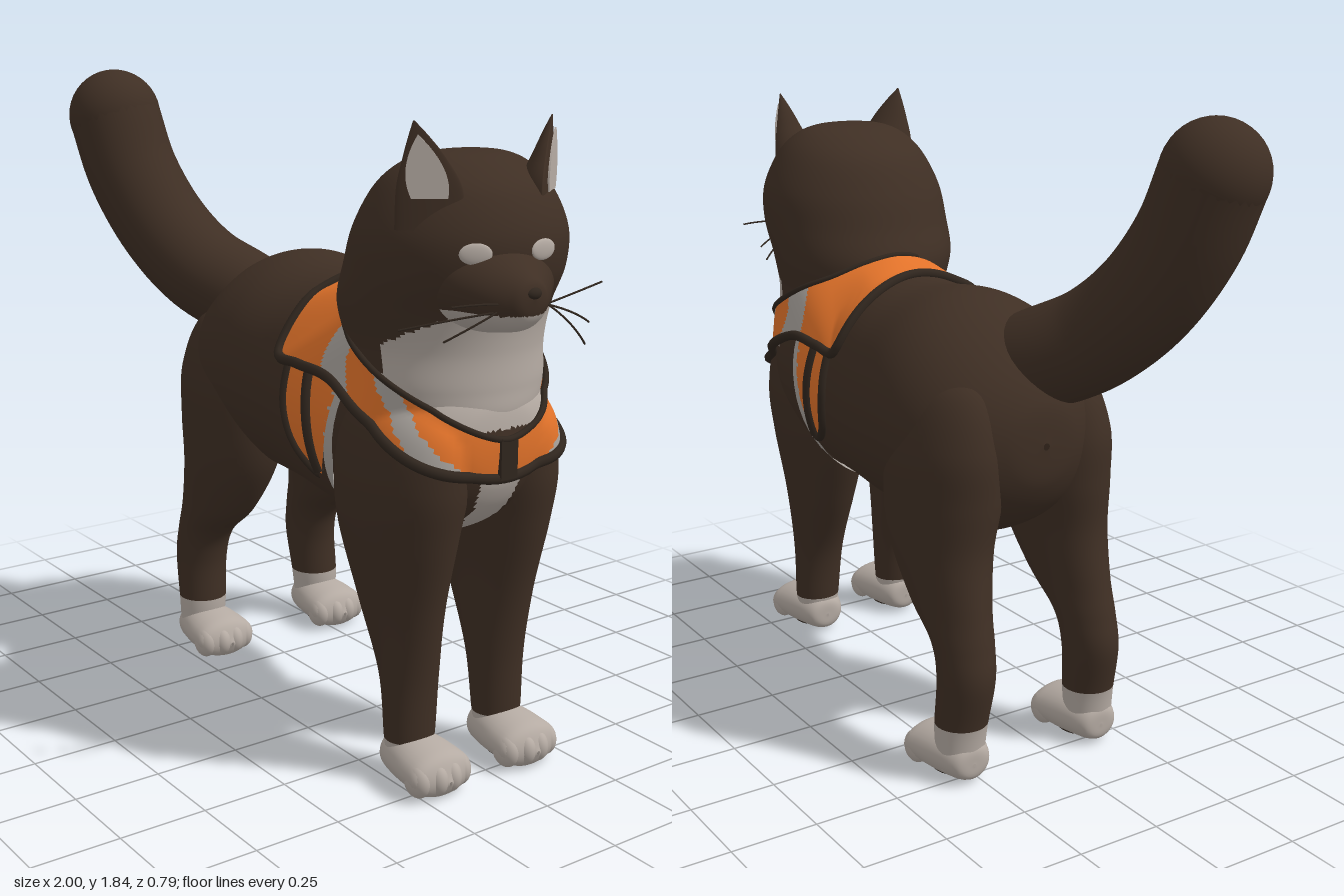
import * as THREE from 'three';

const mat = (name, color, side = THREE.FrontSide) => {
  const m = new THREE.MeshStandardMaterial({ color, side });
  m.name = name;
  return m;
};

export function createModel() {
  const cat = new THREE.Group();
  cat.name = 'cat';
  const fur = mat('brown fur', 0x3f2f24);
  const white = mat('pale fur', 0xb5aba3);
  const dark = mat('dark trim', 0x30261e);
  const orange = mat('orange cloth', 0xe3732a, THREE.DoubleSide);
  const silver = mat('silver band', 0xaaa49e, THREE.DoubleSide);

  const add = (name, geo, material, parent = cat) => {
    const m = new THREE.Mesh(geo, material);
    m.name = name;
    parent.add(m);
    return m;
  };
  const ball = (name, material, [x, y, z], [rx, ry, rz], parent = cat) => {
    const m = add(name, new THREE.SphereGeometry(1, 28, 20), material, parent);
    m.position.set(x, y, z);
    m.scale.set(rx, ry, rz);
    return m;
  };
  const surface = (pos, index) => {
    const g = new THREE.BufferGeometry();
    g.setAttribute('position', new THREE.Float32BufferAttribute(pos, 3));
    g.setIndex(index);
    g.computeVertexNormals();
    return g;
  };

  // Smooth skin through elliptical rings [t, centreA, centreB, radiusA, radiusB]
  const loft = (rings, axis, steps = 8, seg = 56) => {
    const pos = [], idx = [], n = (rings.length - 1) * steps;
    const spline = (k, s) => {
      const i = Math.min(Math.floor(s), rings.length - 2), f = s - i;
      const p = (j) => rings[Math.max(0, Math.min(rings.length - 1, j))][k];
      const [a, b, c, d] = [p(i - 1), p(i), p(i + 1), p(i + 2)];
      return b + 0.5 * f * (c - a + f * (2 * a - 5 * b + 4 * c - d + f * (3 * (b - c) + d - a)));
    };
    for (let i = 0; i <= n; i++) {
      const [t, ca, cb, ra, rb] = [0, 1, 2, 3, 4].map((k) => spline(k, i / steps));
      for (let j = 0; j < seg; j++) {
        const th = (j / seg) * Math.PI * 2;
        const a = ca + Math.max(ra, 0.001) * Math.cos(th), b = Math.max(rb, 0.001) * Math.sin(th);
        if (axis === 'y') pos.push(a, t, cb + b);
        else pos.push(t, a, cb - b);
        if (i < n) {
          const p = i * seg + j, q = i * seg + (j + 1) % seg;
          idx.push(p, p + seg, q, q, p + seg, q + seg);
        }
      }
    }
    return surface(pos, idx);
  };

  // Sort the quads into two material groups by a rule on their centre
  const paint = (g, rule) => {
    const p = g.attributes.position, src = g.index.array, lists = [[], []];
    for (let i = 0; i < src.length; i += 6) {
      const mid = (get) => (p[get](src[i]) + p[get](src[i + 1]) + p[get](src[i + 2]) + p[get](src[i + 5])) / 4;
      lists[rule(mid('getX'), mid('getY'), mid('getZ')) ? 1 : 0].push(...src.slice(i, i + 6));
    }
    g.setIndex([...lists[0], ...lists[1]]);
    g.addGroup(0, lists[0].length, 0);
    g.addGroup(lists[0].length, lists[1].length, 1);
    return g;
  };

  // Torso with pale belly, chest patch and throat
  const torsoGeo = loft([
    [-0.565, 0.95, -0.06, 0.01, 0.01], [-0.55, 0.95, -0.06, 0.12, 0.12],
    [-0.48, 0.95, -0.06, 0.225, 0.24], [-0.35, 0.965, -0.065, 0.315, 0.31],
    [-0.2, 0.98, -0.07, 0.34, 0.325], [0, 0.965, -0.06, 0.335, 0.31],
    [0.2, 0.955, -0.03, 0.335, 0.3], [0.4, 0.945, -0.01, 0.325, 0.29],
    [0.6, 0.94, 0.01, 0.28, 0.275], [0.75, 0.945, 0.03, 0.205, 0.225],
    [0.82, 0.955, 0.035, 0.12, 0.13], [0.84, 0.96, 0.035, 0.01, 0.01]], 'x', 12, 108);
  const torso = add('torso', paint(torsoGeo, (x, y, z) => (x > -0.3 && x < 0.55 && y < 0.675)
    || (x >= 0.5 && y < 0.88 && Math.abs(z - 0.035) < 0.035 + 0.13 * (y - 0.6))
    || (x > 0.63 && y > 1)), [fur, white]);

  // Legs, paws and toes
  const solid = [torso];
  const makeLeg = (name, s, midZ, rings, sock) => {
    const legGroup = new THREE.Group();
    legGroup.name = name;
    cat.add(legGroup);
    const g = loft(rings.map(([y, x, dz, rx, rz]) => [y, x, midZ + s * dz, rx, rz]), 'y', 8, 48);
    const leg = add('leg', paint(g, (x, y) => y < sock), [fur, white], legGroup);
    const px = rings[1][1] + 0.05, pz = midZ + s * rings[1][2];
    add('paw', loft([[-0.12, 0.06, 0, 0.005, 0.005], [-0.11, 0.064, 0, 0.05, 0.055],
      [-0.04, 0.07, 0, 0.067, 0.084], [0.05, 0.066, 0, 0.064, 0.098], [0.105, 0.058, 0, 0.052, 0.09],
      [0.132, 0.05, 0, 0.005, 0.005]], 'x', 6, 32).translate(px, 0, pz), white, legGroup);
    [-1.5, -0.5, 0.5, 1.5].forEach((k) => ball('toe', white,
      [px + 0.098 - 0.016 * Math.abs(k), 0.055, pz + k * 0.045], [0.045, 0.048, 0.032], legGroup));
    ball('pawPad', dark, [px, 0.012, pz], [0.066, 0.012, 0.054], legGroup);
    return leg;
  };
  for (const s of [1, -1]) {
    const side = s > 0 ? 'Right' : 'Left';
    solid.push(makeLeg('front' + side + 'Leg', s, 0.035, [
      [0.04, 0.65, 0.155, 0.05, 0.06], [0.12, 0.65, 0.155, 0.064, 0.072],
      [0.3, 0.64, 0.152, 0.085, 0.08], [0.5, 0.61, 0.157, 0.145, 0.1],
      [0.7, 0.595, 0.16, 0.205, 0.13], [0.85, 0.6, 0.155, 0.225, 0.145],
      [1.0, 0.6, 0.14, 0.21, 0.13], [1.1, 0.58, 0.12, 0.13, 0.08], [1.14, 0.57, 0.1, 0.01, 0.01]], 0.115));
    makeLeg('rear' + side + 'Leg', s, -0.06, [
      [0.04, -0.487, 0.225, 0.06, 0.068], [0.15, -0.485, 0.222, 0.073, 0.075],
      [0.3, -0.5, 0.215, 0.09, 0.078], [0.4, -0.475, 0.21, 0.102, 0.083],
      [0.5, -0.405, 0.205, 0.15, 0.098], [0.65, -0.345, 0.197, 0.187, 0.125],
      [0.8, -0.335, 0.185, 0.208, 0.145], [0.95, -0.34, 0.18, 0.205, 0.14],
      [1.1, -0.34, 0.16, 0.15, 0.1], [1.18, -0.34, 0.13, 0.01, 0.01]], 0.172);
  }

  // Tail
  const tailPath = new THREE.CatmullRomCurve3([[-0.18, 1.02, -0.06], [-0.4, 1.14, 0.01],
    [-0.56, 1.23, 0.1], [-0.685, 1.35, 0.16], [-0.79, 1.52, 0.21], [-0.855, 1.695, 0.235]]
    .map((p) => new THREE.Vector3(...p)));
  add('tail', new THREE.TubeGeometry(tailPath, 48, 0.144, 36), fur);
  ball('tailTip', fur, [-0.855, 1.695, 0.235], [0.145, 0.145, 0.145]);

  // Head and ruff with pale throat
  const headGeo = loft([
    [0.93, 0.57, 0.03, 0.2, 0.18], [1.02, 0.57, 0.03, 0.255, 0.24], [1.1, 0.58, 0.025, 0.25, 0.26],
    [1.2, 0.565, 0.025, 0.265, 0.265], [1.3, 0.57, 0.03, 0.28, 0.285], [1.4, 0.61, 0.03, 0.285, 0.292],
    [1.5, 0.632, 0.03, 0.272, 0.282], [1.6, 0.64, 0.03, 0.225, 0.235], [1.66, 0.645, 0.03, 0.155, 0.18],
    [1.69, 0.65, 0.03, 0.085, 0.11], [1.7, 0.65, 0.03, 0.001, 0.001]], 'y', 12, 128);
  const head = add('head', paint(headGeo, (x, y) => x > 0.63 && y < 1.215 + (x - 0.63) * 0.5), [fur, white]);
  const muzzleGeo = loft([
    [0.76, 1.385, 0.045, 0.15, 0.2], [0.83, 1.38, 0.055, 0.125, 0.175], [0.88, 1.372, 0.07, 0.107, 0.14],
    [0.93, 1.362, 0.083, 0.085, 0.1], [0.965, 1.36, 0.09, 0.064, 0.066],
    [0.985, 1.364, 0.09, 0.04, 0.042], [0.993, 1.368, 0.09, 0.002, 0.002]], 'x', 8, 72);
  add('muzzle', paint(muzzleGeo, (x, y) => y < 1.325), [fur, white]);
  ball('nose', dark, [0.983, 1.38, 0.09], [0.016, 0.016, 0.024]);

  const caster = new THREE.Raycaster();
  const hit = (from, dir, targets) => {
    caster.set(from, dir);
    return caster.intersectObjects(targets, false)[0];
  };
  cat.updateMatrixWorld(true);

  // Eyes and ears
  for (const s of [1, -1]) {
    const ez = 0.082 + s * 0.094;
    const spot = hit(new THREE.Vector3(2, 1.47, ez), new THREE.Vector3(-1, 0, 0), [head]);
    const eye = ball('eye', white, [spot.point.x, 1.468, ez], [0.042, 0.027, 0.008]);
    eye.lookAt(spot.point.clone().add(spot.face.normal));

    const ear = new THREE.Group();
    ear.name = s > 0 ? 'rightEar' : 'leftEar';
    const shell = loft([[-0.06, 0, 0, 0.085, 0.085], [0.04, 0, 0, 0.082, 0.07], [0.11, -s * 0.012, 0, 0.056, 0.042],
      [0.165, -s * 0.027, 0, 0.027, 0.02], [0.205, -s * 0.04, 0, 0.002, 0.002]], 'y', 6, 40);
    const sp = shell.attributes.position;
    for (let i = 0; i < sp.count; i++) if (sp.getZ(i) > 0) sp.setZ(i, sp.getZ(i) * 0.15);
    shell.computeVertexNormals();
    add('earShell', shell, fur, ear);
    const inside = new THREE.Shape();
    inside.moveTo(-0.045, 0);
    inside.quadraticCurveTo(-0.07 - s * 0.01, 0.07, -s * 0.03, 0.155);
    inside.quadraticCurveTo(0.07 - s * 0.01, 0.07, 0.045, 0);
    const inner = new THREE.ExtrudeGeometry(inside, { depth: 0.005, bevelEnabled: false });
    add('innerEar', inner.translate(0, 0.018, 0.008), white, ear);
    ear.position.set(s > 0 ? 0.765 : 0.805, 1.58, s > 0 ? 0.24 : -0.11);
    ear.rotation.set(0, Math.PI / 2 - s * 0.65, 0);
    cat.add(ear);
  }

  // Whiskers
  [[0.84, 1.3, 0.39], [0.9, 1.27, 0.3], [0.93, 1.36, 0.3], [0.88, 1.36, -0.24],
    [0.92, 1.27, -0.16], [0.94, 1.22, -0.13]].forEach(([x, y, z], i) => {
    const root = new THREE.Vector3(0.94, 1.335 + 0.008 * (i % 3), 0.085 + Math.sign(z) * 0.06);
    const end = new THREE.Vector3(x, y, z);
    const bend = root.clone().lerp(end, 0.5).add(new THREE.Vector3(0.03, 0.012, 0));
    add('whisker', new THREE.TubeGeometry(new THREE.QuadraticBezierCurve3(root, bend, end), 12, 0.0028, 5), dark);
  });

  // Push a point out of the body so cloth lies on top
  const midZ = (x) => -0.03 + 0.065 * (x - 0.1) / 0.75;
  const drape = (p) => {
    const core = new THREE.Vector3(THREE.MathUtils.clamp(p.x, 0.1, 0.6), THREE.MathUtils.clamp(p.y, 0.75, 1.05), midZ(p.x));
    const dir = p.clone().sub(core), len = dir.length();
    dir.normalize();
    const h = hit(core.clone().addScaledVector(dir, 2), dir.clone().negate(), solid);
    return core.addScaledVector(dir, Math.max(len, h ? 2.008 - h.distance : 0));
  };
  const cloth = (name, a, b, nu, nv, isSilver) => {
    const pos = [], idx = [], tag = [];
    for (let i = 0; i <= nu; i++) for (let j = 0; j <= nv; j++) {
      pos.push(...drape(a.getPoint(i / nu).lerp(b.getPoint(i / nu), j / nv)).toArray());
      if (i < nu && j < nv) {
        const p = i * (nv + 1) + j, q = p + nv + 1;
        idx.push(p, q, p + 1, p + 1, q, q + 1);
        tag.push(isSilver((i + 0.5) / nu, (j + 0.5) / nv) ? 1 : 0);
      }
    }
    const g = surface(pos, idx);
    tag.forEach((k, f) => g.addGroup(f * 6, 6, k));
    add(name, g, [orange, silver]);
  };
  const trim = (name, curve, n, r, closed) => {
    const pts = curve.getPoints(n).map(drape);
    if (closed) pts.pop();
    add(name, new THREE.TubeGeometry(new THREE.CatmullRomCurve3(pts, closed), n * 2, r, 8, closed), dark);
  };

  // Harness yoke between the neck loop and the outer loop
  const loop = (half) => {
    const at = ([x, y, dz], s) => new THREE.Vector3(x, y, midZ(x) + s * dz);
    return new THREE.CatmullRomCurve3([...half.map((p) => at(p, 1)),
      ...half.slice(1, -1).reverse().map((p) => at(p, -1))], true);
  };
  const neck = loop([[0.29, 1.33, 0], [0.31, 1.31, 0.1], [0.36, 1.27, 0.19], [0.43, 1.235, 0.25],
    [0.52, 1.19, 0.28], [0.64, 1.13, 0.27], [0.76, 1.06, 0.19], [0.835, 0.975, 0]]);
  const hem = loop([[0.13, 1.285, 0], [0.11, 1.25, 0.16], [0.13, 1.1, 0.29], [0.25, 1.095, 0.3],
    [0.42, 1.09, 0.3], [0.6, 1.02, 0.3], [0.76, 0.92, 0.19], [0.835, 0.87, 0]]);
  cloth('harnessYoke', neck, hem, 196, 12, (u, v) => {
    const k = 7 - Math.abs(u * 14 - 7);
    return (k - 0.85 * v > 2.9 && k - 0.8 * v < 3.8) || (k - 1.15 * v > 4.7 && k - 1.15 * v < 5.35);
  });
  trim('neckTrim', neck, 84, 0.009, true);
  trim('hemTrim', hem, 84, 0.015, true);

  // Side panels, straps and girth bands
  for (const s of [1, -1]) {
    const line = (pts) => new THREE.CatmullRomCurve3(
      pts.map(([x, y, dz = 0.24]) => new THREE.Vector3(x, y, midZ(x) + s * dz)));
    const back = [[0.17, 1.09], [0.175, 0.95], [0.215, 0.85], [0.3, 0.79]];
    const front = [[0.43, 1.08], [0.4, 0.97], [0.365, 0.86], [0.32, 0.79]];
    cloth('sidePanel', line(back), line(front), 14, 10, () => false);
    trim('sidePanelTrim', line([...back, [0.325, 0.79]]), 24, 0.013, false);
    trim('sideStrap', line([[0.28, 1.08], [0.3, 0.95], [0.315, 0.8]]), 14, 0.017, false);
    cloth('girthBand', line([[0.41, 1.08], [0.375, 0.9], [0.345, 0.75, 0.12], [0.34, 0.66, 0.08]]),
      line([[0.46, 1.08], [0.42, 0.9], [0.4, 0.75, 0.12], [0.4, 0.65, 0.08]]), 14, 4, () => true);
  }

  // Chest clip
  const clip = add('chestClip', new THREE.BoxGeometry(0.02, 0.11, 0.055), dark);
  clip.position.set(0.844, 0.925, 0.035);
  return cat;
}
